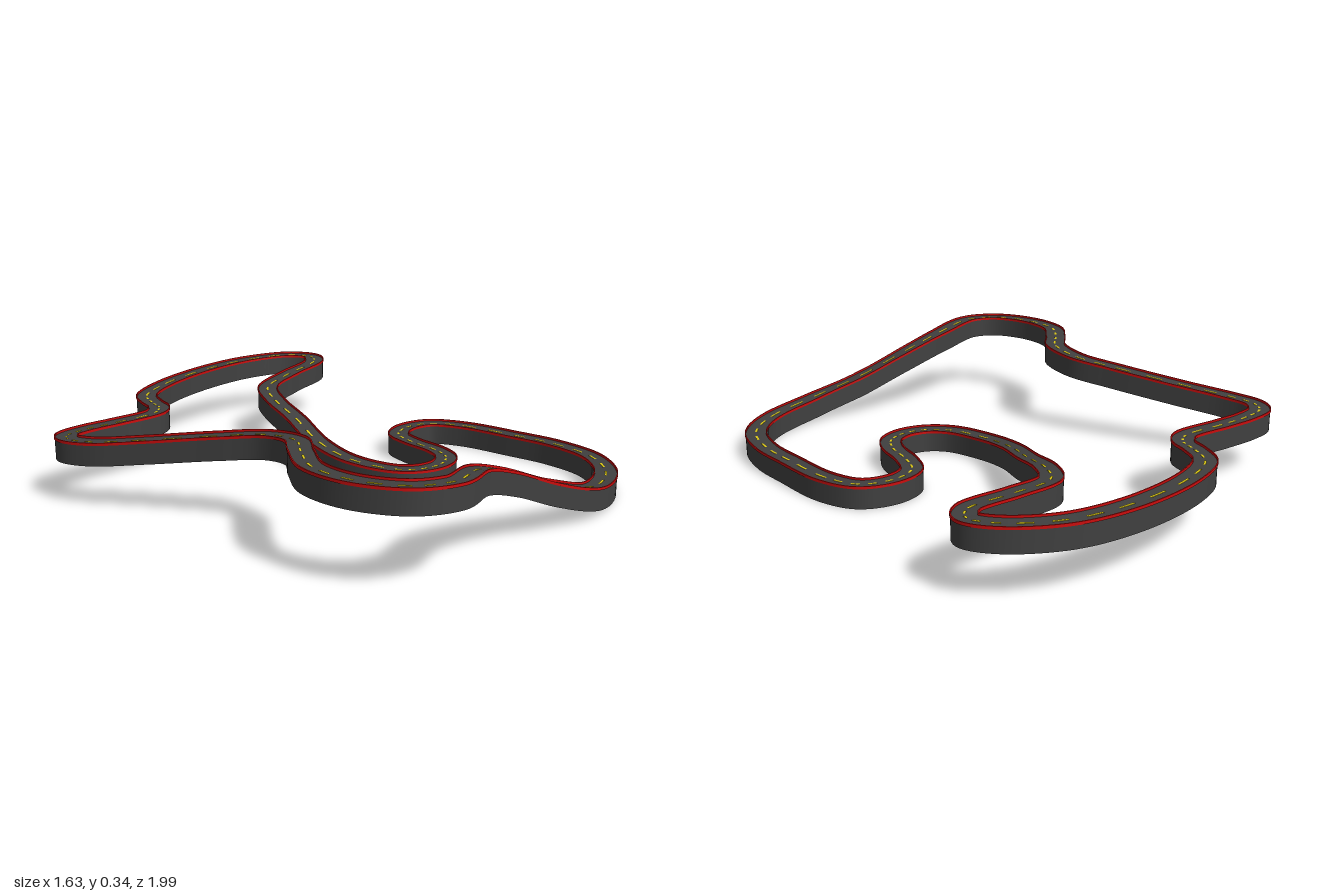
import * as THREE from 'three';
import { mergeGeometries } from 'three/addons/utils/BufferGeometryUtils.js';

// Centre line on the ground: x, z pairs
const PLAN = [
  [-0.77, -0.59], [-0.73, -0.645], [-0.63, -0.66], [-0.5, -0.65], [-0.31, -0.637], [-0.245, -0.68],
  [-0.21, -0.757], [-0.15, -0.85], [0.03, -0.925], [0.32, -0.958], [0.56, -0.925], [0.73, -0.825],
  [0.775, -0.73], [0.72, -0.667], [0.51, -0.64], [0.32, -0.6], [0.22, -0.476], [0.14, -0.3],
  [0.037, -0.1], [-0.005, 0.08], [0.02, 0.265], [0.085, 0.34], [0.18, 0.365], [0.265, 0.333],
  [0.317, 0.254], [0.354, 0.12], [0.407, 0.02], [0.513, -0.012], [0.624, 0.03], [0.677, 0.16],
  [0.68, 0.4], [0.67, 0.58], [0.61, 0.76], [0.466, 0.89], [0.217, 0.952], [0.005, 0.91],
  [-0.206, 0.862], [-0.39, 0.852], [-0.593, 0.889], [-0.71, 0.82], [-0.77, 0.66], [-0.746, 0.49],
  [-0.645, 0.365], [-0.55, 0.265], [-0.524, 0.12], [-0.58, -0.05], [-0.68, -0.29], [-0.757, -0.476],
];
// Height of the road's underside at each point
const RISE = [
  0.148, 0.144, 0.141, 0.138, 0.137, 0.138, 0.139, 0.14, 0.145, 0.152, 0.158, 0.163,
  0.16, 0.155, 0.14, 0.122, 0.104, 0.073, 0.034, 0.01, 0.001, 0, 0, 0,
  0, 0, 0, 0, 0, 0, 0, 0, 0, 0.002, 0.024, 0.085,
  0.17, 0.225, 0.248, 0.252, 0.252, 0.252, 0.252, 0.248, 0.234, 0.212, 0.178, 0.155,
];
const DEPTH = 0.077; // thickness of the road body
const HALF = 0.04;   // half the road width

const path = new THREE.CatmullRomCurve3(
  PLAN.map(([x, z], i) => new THREE.Vector3(x, RISE[i], z)), true, 'centripetal');

// Sweeps a counter-clockwise section (sideways, up) along part of the path, keeping it upright
function sweep(section, t0, t1, steps) {
  const closed = t1 - t0 === 1;
  const count = closed ? steps : steps + 1;
  const frames = [];
  for (let i = 0; i < count; i++) {
    const t = t0 + (t1 - t0) * i / steps;
    const tangent = path.getTangent(t);
    frames.push({ p: path.getPoint(t), s: new THREE.Vector3(-tangent.z, 0, tangent.x).normalize() });
  }
  const positions = [], indices = [];
  section.forEach((start, j) => {
    const base = positions.length / 3;
    const end = section[(j + 1) % section.length];
    for (const { p, s } of frames) {
      for (const [u, v] of [start, end]) positions.push(p.x + s.x * u, p.y + v, p.z + s.z * u);
    }
    for (let i = 0; i < steps; i++) {
      const a = base + 2 * i, d = base + 2 * ((i + 1) % count);
      indices.push(a, d, d + 1, a, d + 1, a + 1);
    }
  });
  const geometry = new THREE.BufferGeometry();
  geometry.setAttribute('position', new THREE.Float32BufferAttribute(positions, 3));
  geometry.setIndex(indices);
  geometry.computeVertexNormals();
  return geometry;
}

const box = (u0, u1, v0, v1) => [[u0, v0], [u1, v0], [u1, v1], [u0, v1]];

export function createModel() {
  const material = (name, color) => {
    const m = new THREE.MeshStandardMaterial({ color });
    m.name = name;
    return m;
  };
  const asphalt = material('asphalt', 0x404040);
  const red = material('barrier red', 0xcc0c0c);
  const yellow = material('line yellow', 0xdcc814);

  const group = new THREE.Group();
  group.name = 'raceTrack';
  const add = (name, geometry, mat) => {
    const mesh = new THREE.Mesh(geometry, mat);
    mesh.name = name;
    group.add(mesh);
  };

  // Solid road body
  add('road', sweep(box(-HALF, HALF, 0, DEPTH), 0, 1, 480), asphalt);

  // Thin barriers along both edges
  for (const [name, side] of [['leftBarrier', -1], ['rightBarrier', 1]]) {
    const u = side * (HALF + 0.0005);
    add(name, sweep(box(u - 0.002, u + 0.002, DEPTH - 0.002, DEPTH + 0.008), 0, 1, 480), red);
  }

  // Dashed centre line, two dashes per stretch of the path
  const dashes = [];
  const total = PLAN.length * 2;
  for (let i = 0; i < total; i++) {
    dashes.push(sweep(box(-0.004, 0.004, DEPTH - 0.001, DEPTH + 0.0015), i / total, (i + 0.5) / total, 5));
  }
  add('centreLine', mergeGeometries(dashes), yellow);

  return group;
}
